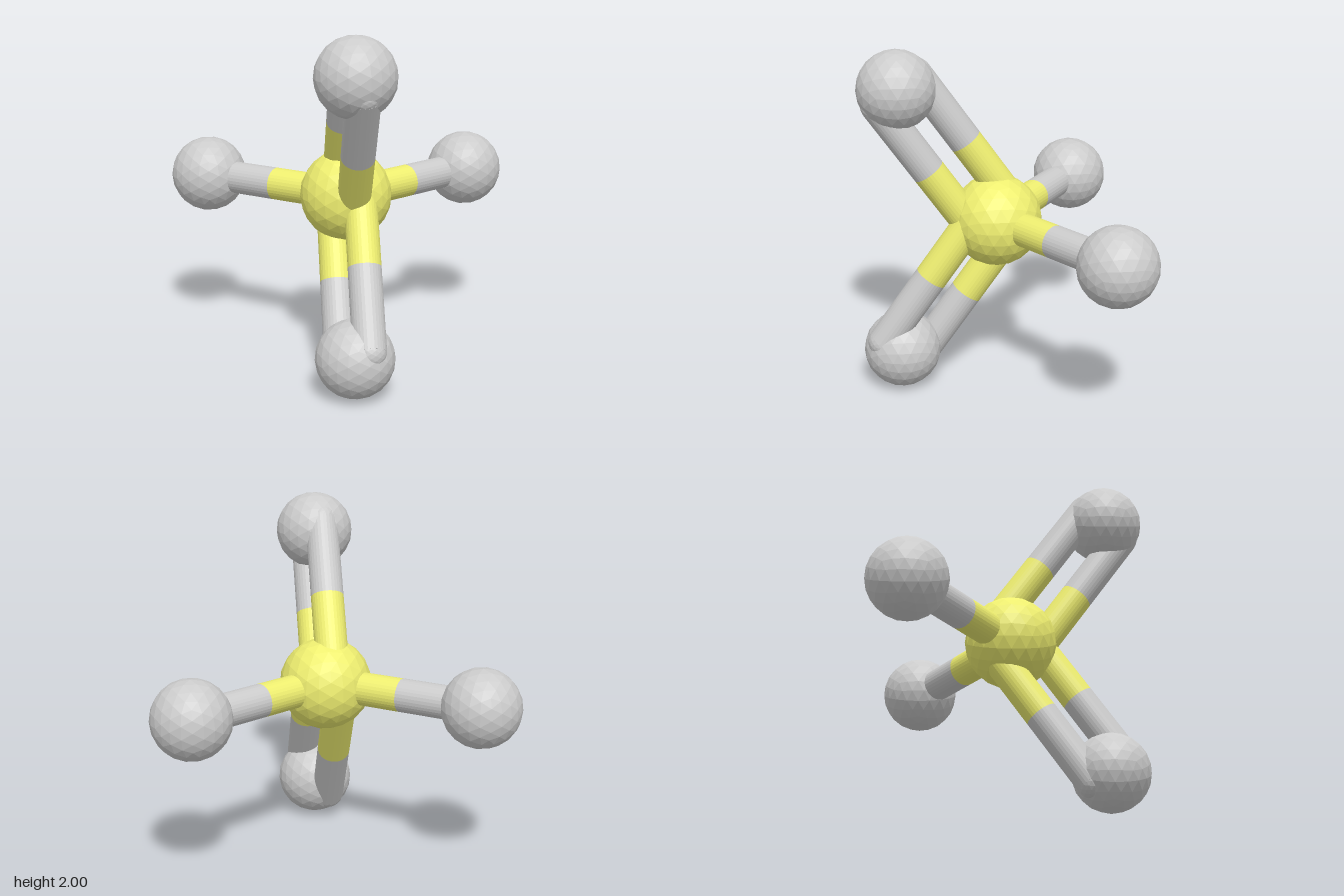
import * as THREE from 'three';

const yellow = new THREE.MeshStandardMaterial({ color: 0xeeee70, flatShading: true });
const grey = new THREE.MeshStandardMaterial({ color: 0xcccccc, flatShading: true });

const CENTRE = new THREE.Vector3(0, 1, 0);
const BOND_RADIUS = 0.094;

function ball(name, position, radius, material, detail = 3) {
  const mesh = new THREE.Mesh(new THREE.IcosahedronGeometry(radius, detail), material);
  mesh.name = name;
  mesh.position.copy(position);
  return mesh;
}

function rod(name, from, to, material) {
  const axis = to.clone().sub(from);
  const geometry = new THREE.CylinderGeometry(BOND_RADIUS, BOND_RADIUS, axis.length(), 32, 1);
  const mesh = new THREE.Mesh(geometry, material);
  mesh.name = name;
  mesh.position.copy(from).lerp(to, 0.5);
  mesh.quaternion.setFromUnitVectors(new THREE.Vector3(0, 1, 0), axis.normalize());
  return mesh;
}

// Two-coloured bond with rounded ends, shifted sideways by an offset
function bond(name, target, offset) {
  const from = CENTRE.clone().add(offset);
  const to = target.clone().add(offset);
  const middle = from.clone().lerp(to, 0.5);
  const group = new THREE.Group();
  group.name = name;
  group.add(
    rod('innerHalf', from, middle, yellow),
    rod('outerHalf', middle, to, grey),
    ball('innerCap', from, BOND_RADIUS, yellow),
    ball('outerCap', to, BOND_RADIUS, grey)
  );
  return group;
}

export function createModel() {
  const model = new THREE.Group();
  model.name = 'molecule';
  model.add(ball('centralAtom', CENTRE, 0.262, yellow));

  // Left and right atoms on single bonds, toward the back
  for (const [side, s] of [['left', 1], ['right', -1]]) {
    const p = new THREE.Vector3(0.778 * s, 1, -0.55);
    model.add(ball(side + 'Atom', p, 0.222, grey));
    model.add(bond(side + 'Bond', p, new THREE.Vector3()));
  }

  // Upper and lower atoms on double bonds, toward the front
  for (const [level, s, shift] of [['upper', 1, 0.03], ['lower', -1, 0.068]]) {
    const p = new THREE.Vector3(0, 1 + 0.778 * s, 0.55);
    model.add(ball(level + 'Atom', p, 0.222, grey));
    const offset = new THREE.Vector3(shift, -0.076 * s, 0.107);
    model.add(bond(level + 'FrontBond', p, offset));
    model.add(bond(level + 'BackBond', p, offset.clone().negate()));
  }
  return model;
}
